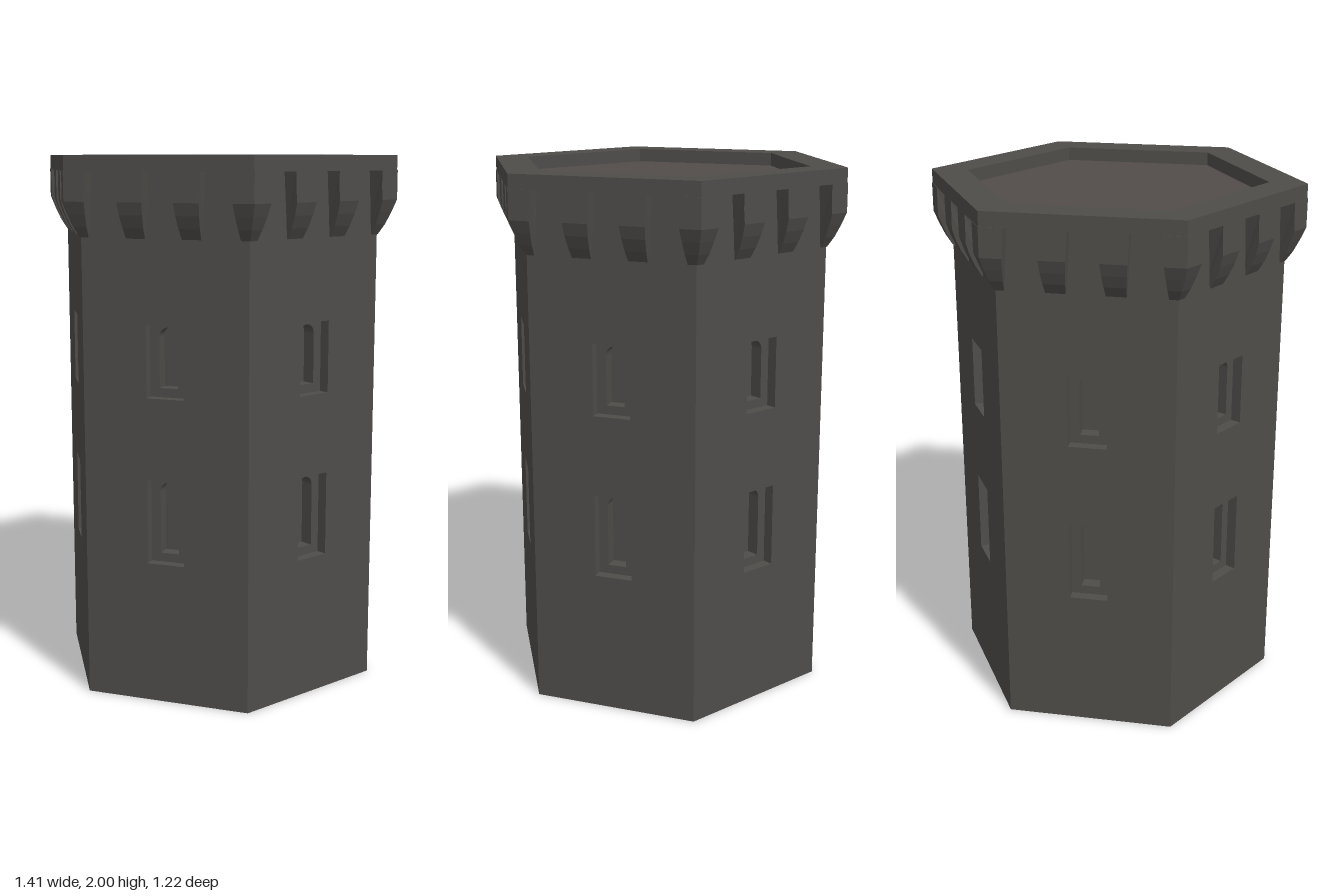
import * as THREE from 'three';

const WALL = 0.547;          // centre to wall face
const CROWN = 0.608;         // centre to crown face
const TAN30 = 1 / Math.sqrt(3);
const stone = new THREE.MeshStandardMaterial({ color: 0x4f4d4a, flatShading: true });
const floorStone = new THREE.MeshStandardMaterial({ color: 0x524d4b, flatShading: true });

// [bottom, top] of the square recess, [sill, crown] of the arched slot
const windows = [
  { recess: [0.53, 0.843], slot: [0.563, 0.83] },
  { recess: [1.145, 1.41], slot: [1.178, 1.398] },
];

function rect(Type, w, y0, y1) {
  const s = new Type();
  s.moveTo(-w, y0).lineTo(w, y0).lineTo(w, y1).lineTo(-w, y1).closePath();
  return s;
}

function arch(w, y0, y1) {
  const p = new THREE.Path();
  p.moveTo(-w, y0).lineTo(w, y0).lineTo(w, y1 - w);
  p.absarc(0, y1 - w, w, 0, Math.PI, false);
  p.closePath();
  return p;
}

// One wall layer with openings, its ends mitred to meet the next face
function panel(holes, front, depth) {
  const shape = rect(THREE.Shape, 0.4, 0, 1.945);
  shape.holes.push(...holes);
  const geo = new THREE.ExtrudeGeometry(shape, { depth, bevelEnabled: false, curveSegments: 10 });
  geo.translate(0, 0, front - depth);
  const p = geo.attributes.position;
  for (let i = 0; i < p.count; i++) {
    if (Math.abs(p.getX(i)) > 0.3) p.setX(i, Math.sign(p.getX(i)) * p.getZ(i) * TAN30);
  }
  geo.computeVertexNormals();
  return geo;
}

// Bracket under the crown; endX(side, y, z) places each of its two ends
function bracket(reach, endX) {
  const shape = new THREE.Shape([
    [WALL - 0.02, 1.712], [WALL + 0.003, 1.712], [WALL + 0.026, 1.75], [WALL + 0.046, 1.795],
    [reach, 1.84], [reach, 1.89], [reach, 1.947], [WALL - 0.02, 1.947],
  ].map(([x, y]) => new THREE.Vector2(x, y)));
  const geo = new THREE.ExtrudeGeometry(shape, { depth: 1, bevelEnabled: false });
  geo.translate(0, 0, -0.5).rotateY(-Math.PI / 2);
  const p = geo.attributes.position;
  for (let i = 0; i < p.count; i++) {
    p.setX(i, endX(Math.sign(p.getX(i)), p.getY(i), p.getZ(i)));
  }
  geo.computeVertexNormals();
  return geo;
}

// Narrowing of a bracket towards its foot, 0 at the top to 1 at the foot
const taper = (y) => THREE.MathUtils.clamp((1.89 - y) / 0.178, 0, 1);

function hexagon(Type, apothem) {
  const pts = [];
  for (let i = 0; i < 6; i++) {
    const a = i * Math.PI / 3, r = apothem * 2 * TAN30;
    pts.push(new THREE.Vector2(r * Math.cos(a), r * Math.sin(a)));
  }
  return new Type(pts);
}

function hexSlab(apothem, y0, y1, holeApothem) {
  const shape = hexagon(THREE.Shape, apothem);
  if (holeApothem) shape.holes.push(hexagon(THREE.Path, holeApothem));
  const geo = new THREE.ExtrudeGeometry(shape, { depth: y1 - y0, bevelEnabled: false });
  return geo.rotateX(-Math.PI / 2).translate(0, y0, 0);
}

export function createModel() {
  const group = new THREE.Group();
  const add = (parent, name, geo, mat = stone) => {
    const mesh = new THREE.Mesh(geo, mat);
    mesh.name = name;
    parent.add(mesh);
    return mesh;
  };

  const outer = panel(windows.map((w) => rect(THREE.Path, 0.071, ...w.recess)), WALL, 0.04);
  const inner = panel(windows.map((w) => arch(0.035, ...w.slot)), WALL - 0.04, 0.05);
  const middle = bracket(CROWN - 0.001, (s, y) => s * (0.052 - 0.016 * taper(y)));
  // Half of a corner bracket, mitred at the corner
  const corner = (side) => bracket(CROWN + 0.002, (s, y, z) =>
    s === side ? side * z * TAN30 : side * (0.27 + 0.015 * taper(y)));
  const corners = [corner(-1), corner(1)];

  // Six identical sides
  for (let k = 0; k < 6; k++) {
    const face = new THREE.Group();
    face.name = `side${k + 1}`;
    face.rotation.y = k * Math.PI / 3;
    add(face, 'wall', outer);
    add(face, 'windowFrames', inner);
    for (const s of [-1, 1]) add(face, 'bracket', middle).position.x = s * 0.105;
    for (const geo of corners) add(face, 'cornerBracket', geo);
    group.add(face);
  }

  // Solid core behind the window slots
  add(group, 'core', hexSlab(WALL - 0.09, 0, 1.9));
  // Crown parapet and sunken roof floor
  add(group, 'parapet', hexSlab(CROWN, 1.945, 2, 0.488));
  add(group, 'roofFloor', hexSlab(0.5, 1.9, 1.95), floorStone);
  return group;
}
